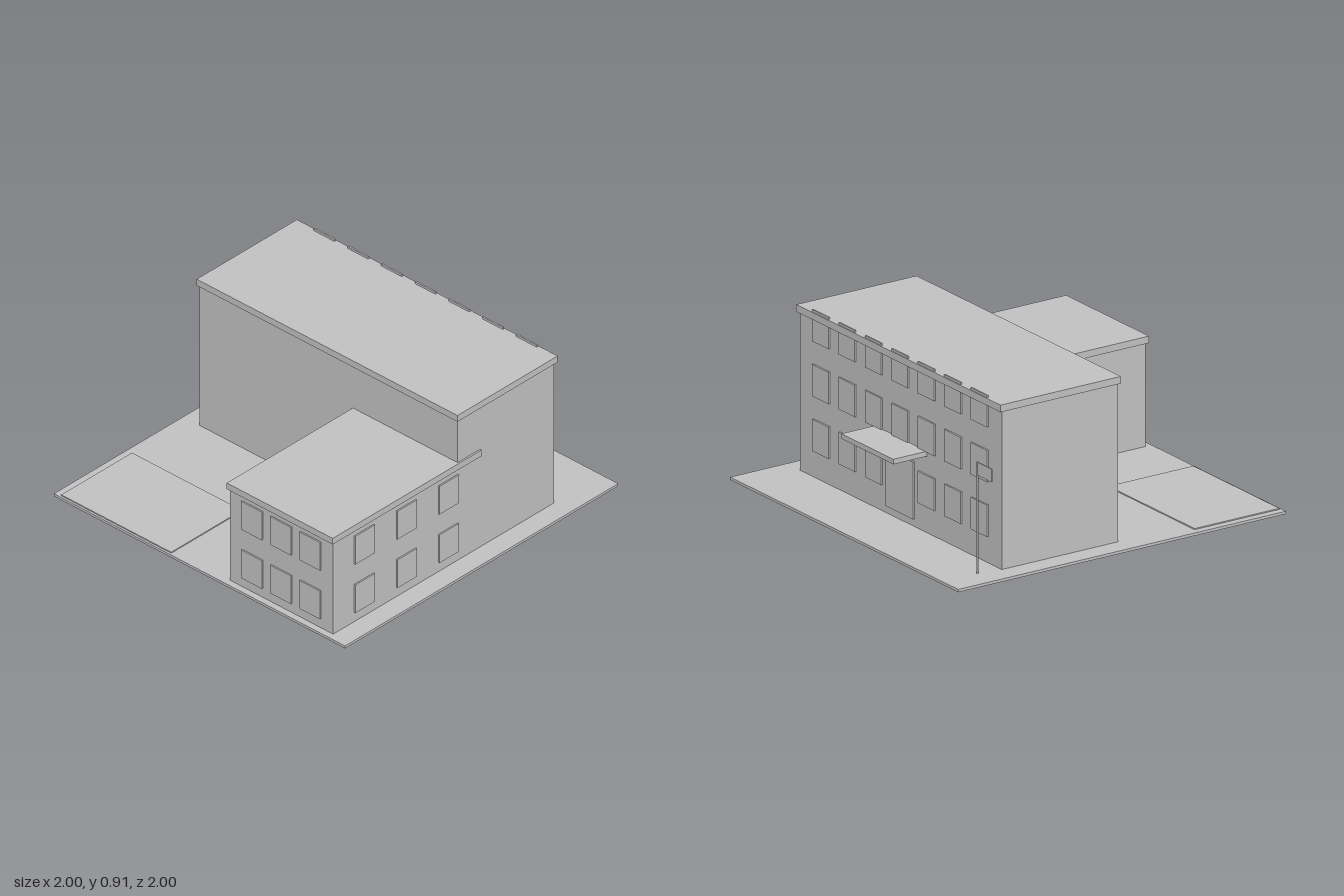
import * as THREE from 'three';

export function createModel() {
  const model = new THREE.Group();
  const grey = new THREE.MeshStandardMaterial({ color: 0xc0c0c0 });
  grey.name = 'plainGrey';

  // Box given by its low and high corner on each axis
  function box(name, [x0, x1], [y0, y1], [z0, z1], parent = model) {
    const mesh = new THREE.Mesh(new THREE.BoxGeometry(x1 - x0, y1 - y0, z1 - z0), grey);
    mesh.position.set((x0 + x1) / 2, (y0 + y1) / 2, (z0 + z1) / 2);
    mesh.name = name;
    parent.add(mesh);
    return mesh;
  }
  function group(name) {
    const g = new THREE.Group();
    g.name = name;
    model.add(g);
    return g;
  }

  // Ground and paved area
  box('groundSlab', [-1, 1], [0, 0.015], [-1, 1]);
  box('parkingPad', [-0.96, -0.205], [0.015, 0.021], [0.47, 0.988]);

  // Main block and front wing, each with an overhanging flat roof
  box('mainBlock', [-0.886, 0.884], [0.015, 0.86], [-0.655, 0.053]);
  box('mainRoof', [-0.897, 0.894], [0.86, 0.898], [-0.67, 0.064]);
  box('wingBlock', [0.177, 0.884], [0.015, 0.567], [-0.1, 0.963]);
  box('wingRoof', [0.166, 0.894], [0.567, 0.604], [-0.112, 0.977]);

  // Windows
  const half = 0.071, height = 0.17;
  const backWindows = group('backWindows');
  [0.155, 0.447, 0.74].forEach((y, row) => {
    for (let col = -3; col <= 3; col++) {
      if (row === 0 && col === 0) continue; // entrance door stands here
      const x = col * 0.2315 - 0.002;
      box('backWindow', [x - half, x + half], [y, y + height], [-0.664, -0.655], backWindows);
    }
  });
  const wingWindows = group('wingWindows');
  for (const y of [0.07, 0.363]) {
    for (let col = -1; col <= 1; col++) {
      const x = 0.53 + col * 0.2, z = 0.43 + col * 0.308;
      box('wingFrontWindow', [x - half, x + half], [y, y + height], [0.963, 0.971], wingWindows);
      box('wingSideWindow', [0.884, 0.892], [y, y + height], [z - half, z + half], wingWindows);
    }
  }

  // Entrance at the back
  box('door', [-0.121, 0.121], [0.055, 0.36], [-0.664, -0.655]);
  box('doorCanopy', [-0.23, 0.226], [0.422, 0.449], [-0.86, -0.655]);

  // Flagpole
  const flagpole = group('flagpole');
  const pole = new THREE.Mesh(new THREE.CylinderGeometry(0.005, 0.005, 0.595, 12), grey);
  pole.position.set(-0.862, 0.3125, -0.787);
  pole.name = 'pole';
  flagpole.add(pole);
  box('flag', [-0.989, -0.862], [0.54, 0.609], [-0.79, -0.784], flagpole);

  return model;
}
